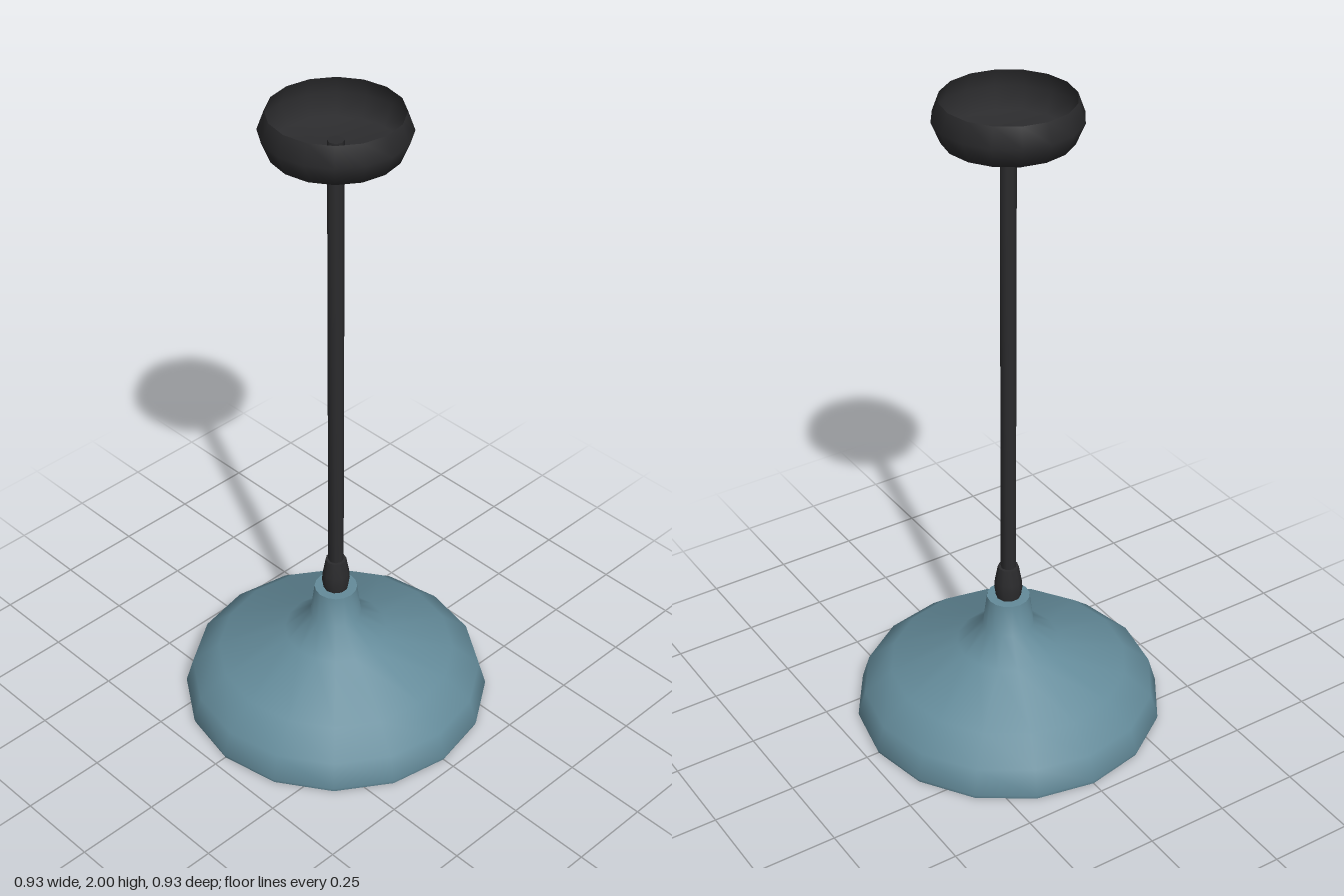
import * as THREE from 'three';
import { toCreasedNormals } from 'three/addons/utils/BufferGeometryUtils.js';

const material = (color, side = THREE.FrontSide) =>
  new THREE.MeshStandardMaterial({ color, side });

// Turned part from [radius, height] pairs; a crease angle keeps sharp rims crisp
function turned(name, profile, sides, mat, crease) {
  let geometry = new THREE.LatheGeometry(profile.map(([r, y]) => new THREE.Vector2(r, y)), sides);
  if (crease) geometry = toCreasedNormals(geometry, crease);
  const mesh = new THREE.Mesh(geometry, mat);
  mesh.name = name;
  return mesh;
}

export function createModel() {
  const group = new THREE.Group();
  group.name = 'pendantLamp';
  const black = material(0x2b2b2d);
  const blackOpen = material(0x2b2b2d, THREE.DoubleSide);
  const blue = material(0x648b9a);
  const yellow = material(0xb8a03c);

  // Ceiling canopy: shallow dish, open at the top
  group.add(turned('canopy', [
    [0, 1.885], [0.18, 1.885], [0.205, 1.945], [0.185, 2],
  ], 16, blackOpen));

  // Rod, its top end just inside the canopy
  group.add(turned('rod', [
    [0, 0.48], [0.023, 0.48], [0.023, 1.915], [0, 1.915],
  ], 8, black, 1));

  // Collar between rod and shade
  group.add(turned('collar', [
    [0, 0.39], [0.036, 0.39], [0.042, 0.43], [0.04, 0.455], [0.031, 0.505], [0, 0.505],
  ], 10, black, 1));

  // Shade: inner surface down to the rim, then outer surface up to the neck
  group.add(turned('shade', [
    [0, 0.285], [0.065, 0.28], [0.15, 0.222], [0.345, 0.148], [0.427, 0.085], [0.447, 0.005],
    [0.46, 0.0], [0.463, 0.012],
    [0.44, 0.09], [0.357, 0.16], [0.155, 0.235], [0.077, 0.3], [0.064, 0.4], [0, 0.4],
  ], 16, blue, 1.05));

  // Bulb below the neck
  group.add(turned('bulb', [
    [0, 0.095], [0.055, 0.1], [0.07, 0.13], [0.068, 0.22], [0.045, 0.29], [0, 0.29],
  ], 8, yellow, 1));

  return group;
}
